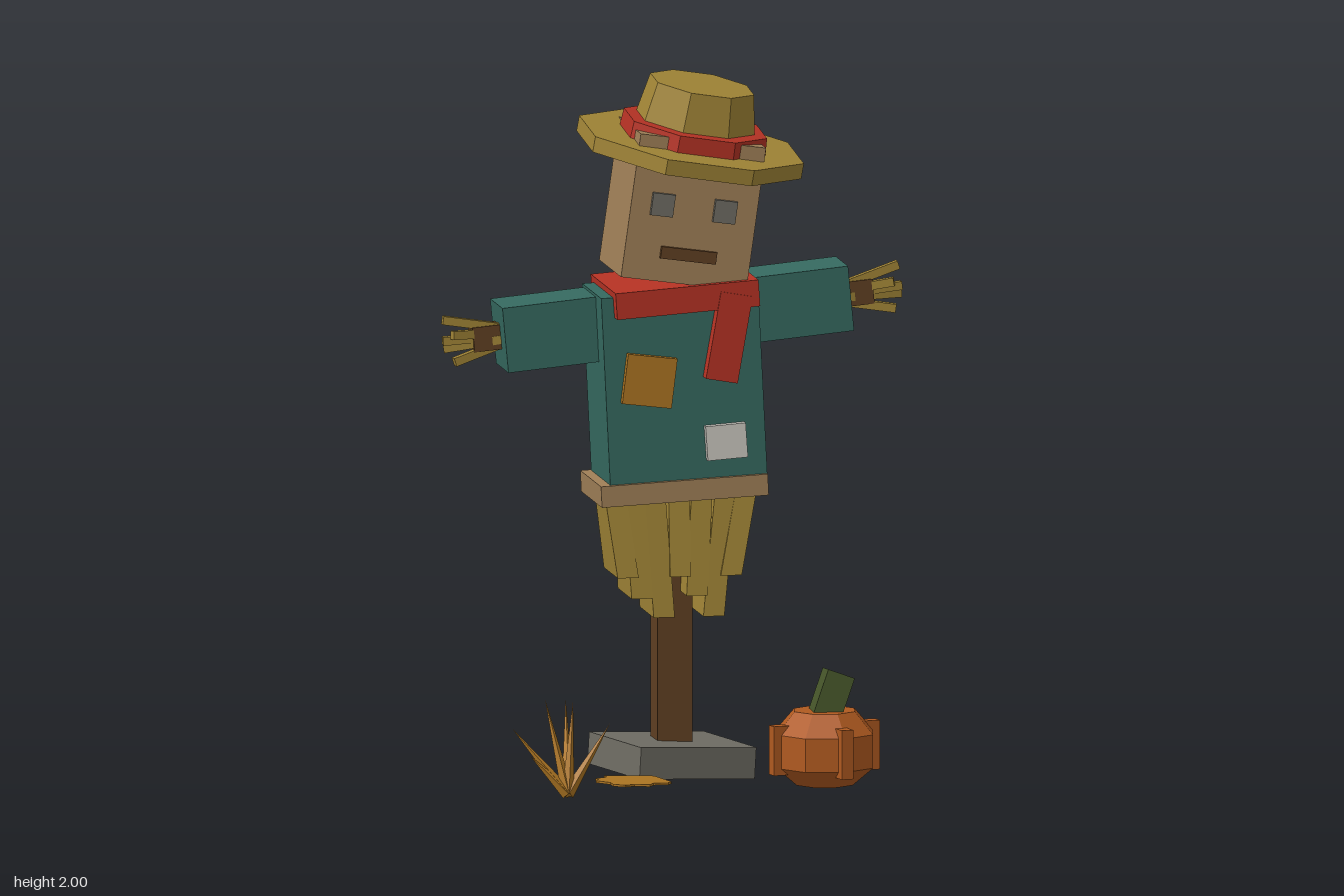
import * as THREE from 'three';

const colours = {
  straw: 0xa08436, teal: 0x35695f, burlap: 0x9f7f57, red: 0xb53224, wood: 0x5f3f22,
  stone: 0x6e6c63, pumpkin: 0xb05a20, stem: 0x46552a, ochre: 0xab7422, cream: 0xcbc8c1,
};

export function createModel() {
  const model = new THREE.Group();
  model.name = 'scarecrow';
  const mat = {};
  for (const [name, color] of Object.entries(colours)) {
    mat[name] = new THREE.MeshStandardMaterial({ color, flatShading: true });
    mat[name].name = name;
  }
  mat.ochre.side = THREE.DoubleSide;
  const deg = THREE.MathUtils.degToRad;

  function add(parent, name, geometry, material, pos = [0, 0, 0], rot = [0, 0, 0]) {
    const mesh = new THREE.Mesh(geometry, mat[material]);
    mesh.name = name;
    mesh.position.set(...pos);
    mesh.rotation.set(...rot.map(deg));
    parent.add(mesh);
    return mesh;
  }
  const box = (parent, name, size, material, pos, rot) =>
    add(parent, name, new THREE.BoxGeometry(...size), material, pos, rot);
  function group(name, pos, rot = [0, 0, 0]) {
    const g = new THREE.Group();
    g.name = name;
    g.position.set(...pos);
    g.rotation.set(...rot.map(deg));
    model.add(g);
    return g;
  }
  // Octagonal frustum with flat sides facing the axes; radii are apothems
  function octagon(top, bottom, height) {
    const k = 1 / Math.cos(Math.PI / 8);
    return new THREE.CylinderGeometry(top * k, bottom * k, height, 8).rotateY(Math.PI / 8);
  }

  // Stone foot and wooden post
  box(model, 'stoneBase', [0.36, 0.09, 0.34], 'stone', [-0.005, 0.062, -0.2], [0, 15, -3.5]);
  box(model, 'post', [0.1, 1.4, 0.105], 'wood', [-0.003, 0.79, -0.215]);

  // Straw hanging below the coat: strips that widen in depth toward the bottom
  const strips = [ // top x, bottom x, bottom y
    [-0.19, -0.155, 0.59], [-0.135, -0.115, 0.53], [-0.075, -0.052, 0.475], [-0.005, -0.005, 0.59],
    [0.062, 0.042, 0.535], [0.13, 0.09, 0.475], [0.19, 0.14, 0.59],
  ];
  const skirt = group('strawSkirt', [0, 0, -0.172]);
  for (const [topX, bottomX, bottomY] of strips) {
    const g = new THREE.BoxGeometry(0.06, 1, 1);
    const p = g.attributes.position;
    for (let i = 0; i < p.count; i++) {
      const top = p.getY(i) > 0;
      p.setX(i, p.getX(i) + (top ? topX : bottomX));
      p.setY(i, top ? 0.84 : bottomY);
      p.setZ(i, p.getZ(i) * (top ? 0.16 : 0.215));
    }
    g.computeVertexNormals();
    add(skirt, 'strawStrip', g, 'straw');
  }

  // Coat, hem, scarf and patches
  box(model, 'coat', [0.45, 0.54, 0.295], 'teal', [-0.002, 1.135, -0.172], [0, 0, 2.8]);
  box(model, 'hem', [0.478, 0.06, 0.32], 'burlap', [-0.003, 0.842, -0.17], [0, 0, 2.8]);
  box(model, 'scarf', [0.41, 0.075, 0.385], 'red', [0, 1.39, -0.172], [0, 0, 4]);
  box(model, 'scarfTail', [0.092, 0.25, 0.045], 'red', [0.118, 1.28, 0.002], [0, 0, -10]);
  box(model, 'ochrePatch', [0.142, 0.142, 0.025], 'ochre', [-0.105, 1.158, -0.012], [0, 0, -7]);
  box(model, 'creamPatch', [0.115, 0.098, 0.025], 'cream', [0.115, 0.98, -0.012], [0, 0, 4]);

  // Arms: crossbar, sleeves and straw fingers
  const arms = group('arms', [-0.003, 1.315, -0.207], [0, 0, 5.4]);
  box(arms, 'crossbar', [1.15, 0.07, 0.075], 'wood', [0, 0, -0.015]);
  const fingers = [[14, 0.15], [5, -14], [-4, 10], [-13, -8], [1, 2]];
  for (const side of [-1, 1]) {
    box(arms, 'sleeve', [0.32, 0.185, 0.19], 'teal', [side * 0.337, 0, 0]);
    fingers.forEach(([lift, spread], i) => {
      const length = 0.165 - (i % 2) * 0.02;
      const g = new THREE.BoxGeometry(length, 0.024, 0.024).translate(length / 2, 0, 0);
      add(arms, 'strawFinger', g, 'straw',
        [side * 0.495, lift * 0.0018, spread * 0.001 + 0.005],
        [0, side > 0 ? spread : 180 - spread, lift]);
    });
  }

  // Head and face
  const head = group('head', [0.02, 1.635, -0.169], [0, 0, -8]);
  box(head, 'face', [0.362, 0.41, 0.335], 'burlap');
  for (const x of [-0.092, 0.088]) box(head, 'eye', [0.064, 0.064, 0.03], 'stone', [x, 0.013, 0.168]);
  box(head, 'mouth', [0.16, 0.034, 0.03], 'wood', [0.001, -0.121, 0.168]);

  // Straw hat
  const hat = group('hat', [0.043, 1.795, -0.176], [5.5, 0, -9]);
  add(hat, 'brim', octagon(0.303, 0.303, 0.045), 'straw');
  add(hat, 'hatBand', octagon(0.193, 0.197, 0.055), 'red', [0.003, 0.043, 0]);
  add(hat, 'crown', octagon(0.14, 0.168, 0.165), 'straw', [0.005, 0.1, -0.012]);

  // Pumpkin with four ribs and a leaning stem
  const pumpkin = group('pumpkin', [0.36, 0, 0.187], [0, 13, 0]);
  const profile = [[0, 0.028], [0.085, 0.028], [0.147, 0.08], [0.147, 0.175], [0.092, 0.238], [0, 0.238]]
    .map(([r, y]) => new THREE.Vector2(r, y));
  add(pumpkin, 'pumpkinBody', new THREE.LatheGeometry(profile, 8), 'pumpkin');
  for (let i = 0; i < 4; i++) {
    const a = i * Math.PI / 2;
    box(pumpkin, 'pumpkinRib', [0.05, 0.14, 0.035], 'pumpkin',
      [Math.cos(a) * 0.138, 0.132, -Math.sin(a) * 0.138], [0, i * 90, 0]);
  }
  box(model, 'pumpkinStem', [0.08, 0.13, 0.088], 'stem', [0.38, 0.28, 0.185], [-5, 0, -20]);

  // Dry grass tuft: thin spikes leaning outward
  const root = new THREE.Vector3(-0.367, 0.012, 0.145);
  const tips = [[-0.33, 0.25, -0.09], [-0.51, 0.19, 0.055], [-0.23, 0.2, 0.065],
    [-0.415, 0.27, 0.05], [-0.34, 0.27, 0.08], [-0.47, 0.12, 0.11]];
  for (const t of tips) {
    const tip = new THREE.Vector3(...t);
    const dir = tip.clone().sub(root);
    const length = dir.length();
    const blade = add(model, 'grassBlade',
      new THREE.ConeGeometry(0.018, length, 4).translate(0, length / 2, 0), 'ochre', root.toArray());
    blade.quaternion.setFromUnitVectors(new THREE.Vector3(0, 1, 0), dir.normalize());
  }

  // Fallen leaf with a ragged edge, lying flat
  const outline = [[-0.288, 0.272], [-0.228, 0.287], [-0.15, 0.307], [-0.14, 0.353], [-0.122, 0.425],
    [-0.135, 0.445], [-0.178, 0.446], [-0.193, 0.473], [-0.235, 0.457], [-0.262, 0.469], [-0.293, 0.446],
    [-0.295, 0.41], [-0.328, 0.37], [-0.315, 0.34], [-0.322, 0.326], [-0.285, 0.305]];
  const leaf = new THREE.Shape(outline.map(([x, z]) => new THREE.Vector2(x, -z)));
  add(model, 'fallenLeaf', new THREE.ExtrudeGeometry(leaf, { depth: 0.006, bevelEnabled: false }),
    'ochre', [0, 0.076, 0], [-90, 0, 0]);

  return model;
}
